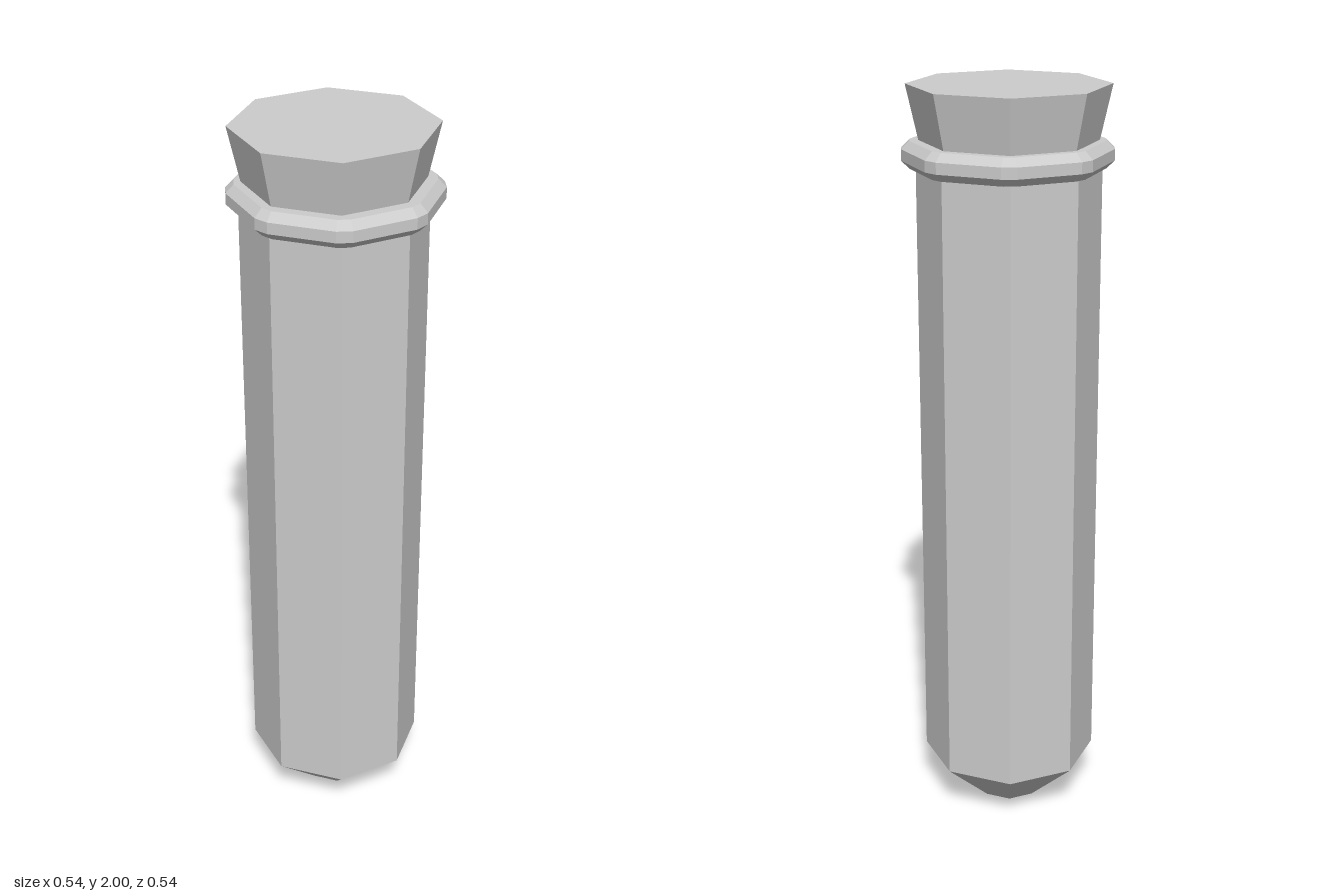
import * as THREE from 'three';

const grey = new THREE.MeshStandardMaterial({ color: 0xcccccc, flatShading: true });
grey.name = 'light grey';

const SIDES = 8;

// Eight-sided tapered section between two heights
function section(name, rTop, rBottom, y0, y1) {
  const geo = new THREE.CylinderGeometry(rTop, rBottom, y1 - y0, SIDES).toNonIndexed();
  geo.computeVertexNormals();
  const mesh = new THREE.Mesh(geo, grey);
  mesh.name = name;
  mesh.position.set(-0.003, (y0 + y1) / 2, -0.003);
  return mesh;
}

// Octagonal band with clipped corners and an octagonal cross-section
function collarGeometry(cornerDist, sideDist, tubeRadius, y) {
  const step = Math.PI / SIDES, rings = SIDES * 2, n = 8;
  const pos = [], idx = [];
  for (let i = 0; i < rings; i++) {
    const corner = Math.floor(i / 2) * 2 * step;
    const sign = i % 2 ? 1 : -1;
    for (let j = 0; j < n; j++) {
      const a = ((j + 0.5) / n) * Math.PI * 2;
      const d = Math.cos(a) * tubeRadius;
      const p = cornerDist + d, q = sideDist + d;
      const t = sign * (q - p * Math.cos(step)) / Math.sin(step);
      pos.push(
        p * Math.sin(corner) + t * Math.cos(corner),
        y + Math.sin(a) * tubeRadius,
        p * Math.cos(corner) - t * Math.sin(corner));
      const i2 = (i + 1) % rings, j2 = (j + 1) % n;
      const A = i * n + j, B = i2 * n + j, C = i2 * n + j2, D = i * n + j2;
      idx.push(A, B, C, A, C, D);
    }
  }
  const indexed = new THREE.BufferGeometry();
  indexed.setAttribute('position', new THREE.Float32BufferAttribute(pos, 3));
  indexed.setIndex(idx);
  const geo = indexed.toNonIndexed();
  geo.computeVertexNormals();
  return geo;
}

export function createModel() {
  const group = new THREE.Group();
  group.name = 'stopperedTube';

  // Tapered tip and long straight body, open where they meet
  const tube = new THREE.Group();
  tube.name = 'tube';
  tube.add(section('tip', 0.2365, 0.09, 0, 0.137));
  tube.add(section('body', 0.2365, 0.2365, 0.137, 1.858));
  group.add(tube);

  // Rolled lip around the mouth
  const lip = new THREE.Mesh(collarGeometry(0.234, 0.221, 0.038, 1.825), grey);
  lip.name = 'lip';
  group.add(lip);

  // Stopper flaring upwards out of the mouth
  group.add(section('stopper', 0.26, 0.222, 1.83, 2));
  return group;
}
